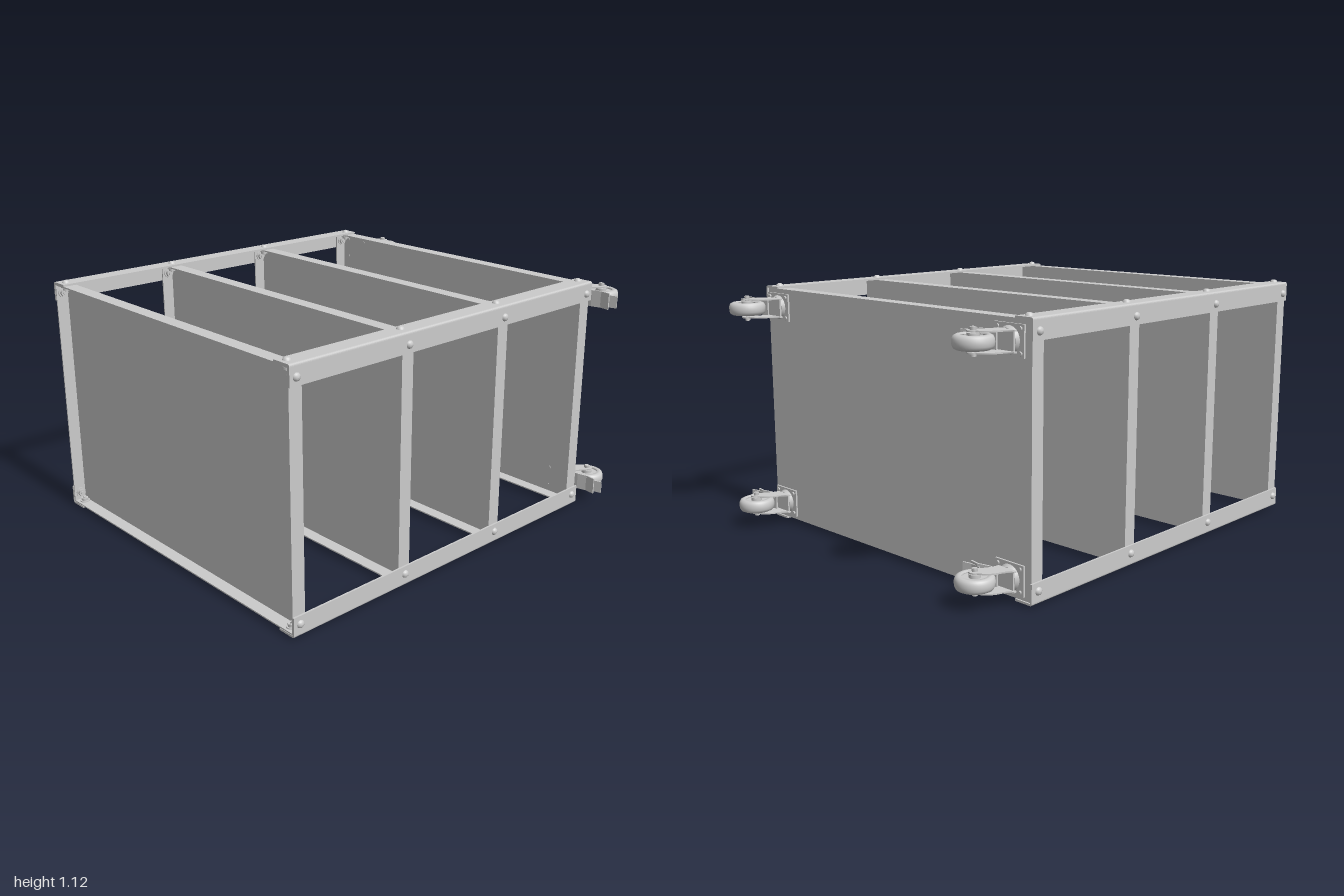
import * as THREE from 'three';

const grey = new THREE.MeshStandardMaterial({ color: 0xcccccc, side: THREE.DoubleSide });

// Frame limits
const X0 = -0.875, X1 = 0.78, Y0 = 0.012, Y1 = 1.11, Z0 = -0.79, Z1 = 1;
const CX = (X0 + X1) / 2, CY = (Y0 + Y1) / 2;
const FLANGE = 0.087, T = 0.009, TRAY_DEPTH = 0.062;
const SHELF_Z = [0.967, 0.396, -0.176, -0.752];

function add(parent, name, geometry, x = 0, y = 0, z = 0) {
  const mesh = new THREE.Mesh(geometry, grey);
  mesh.name = name;
  mesh.position.set(x, y, z);
  parent.add(mesh);
  return mesh;
}

const box = (w, h, d) => new THREE.BoxGeometry(w, h, d);
const cyl = (r, h, n = 24, r2 = r) => new THREE.CylinderGeometry(r, r2, h, n);
const lathe = (pts, n) => new THREE.LatheGeometry(pts.map(p => new THREE.Vector2(...p)), n);

function polygon(pts) {
  return new THREE.Shape(pts.map(p => new THREE.Vector2(...p)));
}

// Flat profile of (x, distance outwards along -z), centred thickness along y
function plateProfile(shape, thickness) {
  const g = new THREE.ExtrudeGeometry(shape, { depth: thickness, bevelEnabled: false, curveSegments: 10 });
  return g.translate(0, 0, -thickness / 2).rotateX(-Math.PI / 2);
}

// Domed bolt pointing along +y, head just below y = 0
function createBolt() {
  const bolt = new THREE.Group();
  bolt.name = 'bolt';
  add(bolt, 'boltHead', lathe([[0, -0.012], [0.008, -0.011], [0.014, -0.007], [0.017, 0]], 20));
  add(bolt, 'boltShaft', cyl(0.008, 0.04, 12), 0, 0.02);
  add(bolt, 'washer', cyl(0.023, 0.005, 20), 0, 0.0195);
  add(bolt, 'nut', cyl(0.018, 0.013, 6), 0, 0.028);
  return bolt;
}

// Angle-section post with two rows of bolts; its outer corner is the origin
function createPost() {
  const post = new THREE.Group();
  post.name = 'cornerPost';
  const r = 0.01;
  const s = new THREE.Shape();
  s.moveTo(r, 0);
  s.lineTo(FLANGE, 0);
  s.lineTo(FLANGE, T);
  s.lineTo(T, T);
  s.lineTo(T, FLANGE);
  s.lineTo(0, FLANGE);
  s.lineTo(0, r);
  s.quadraticCurveTo(0, 0, r, 0);
  add(post, 'angleBar', new THREE.ExtrudeGeometry(s, { depth: Z1 - Z0, bevelEnabled: false, curveSegments: 5 }), 0, 0, Z0);
  for (const z of SHELF_Z) {
    const a = createBolt();
    a.position.set(0.052, 0, z);
    const b = createBolt();
    b.rotation.z = -Math.PI / 2;
    b.position.set(0, 0.052, z);
    post.add(a, b);
  }
  return post;
}

// Shallow tray, open towards +z
function createShelf() {
  const shelf = new THREE.Group();
  shelf.name = 'shelf';
  const w = X1 - X0 - 2 * T, h = Y1 - Y0 - 2 * T, t = 0.006;
  add(shelf, 'shelfSheet', box(w, h, t), 0, 0, -TRAY_DEPTH / 2 + t / 2);
  for (const s of [-1, 1]) {
    add(shelf, 'sideRim', box(t, h, TRAY_DEPTH), s * (w - t) / 2, 0, 0);
    add(shelf, 'longRim', box(w, t, TRAY_DEPTH), 0, s * (h - t) / 2, 0);
  }
  return shelf;
}

// Swivel caster mounted on z = 0 and reaching to -z, trailing to +x
function createCaster() {
  const caster = new THREE.Group();
  caster.name = 'caster';
  const wheelX = 0.063, axle = 0.13;

  add(caster, 'mountingPlate', box(0.15, 0.125, 0.008), 0, 0, -0.004);
  for (const sx of [-1, 1]) for (const sy of [-1, 1]) {
    add(caster, 'plateBolt', cyl(0.009, 0.03, 6).rotateX(Math.PI / 2), sx * 0.058, sy * 0.046, 0);
  }
  add(caster, 'swivelRace', cyl(0.054, 0.014, 32, 0.045).rotateX(Math.PI / 2), 0, 0, -0.015);

  // Fork: crown and two cheeks tapering to the axle
  add(caster, 'forkCrown', box(0.085, 0.086, 0.008), 0, 0, -0.026);
  const cheek = new THREE.Shape();
  cheek.moveTo(-0.052, 0.022);
  cheek.lineTo(0.042, 0.022);
  cheek.quadraticCurveTo(0.04, 0.06, 0.085, 0.115);
  cheek.absarc(wheelX, axle, 0.026, -0.6, Math.PI * 0.85, false);
  cheek.quadraticCurveTo(0.0, 0.125, -0.016, 0.085);
  cheek.quadraticCurveTo(-0.025, 0.045, -0.052, 0.036);
  for (const s of [-1, 1]) {
    add(caster, 'forkCheek', plateProfile(cheek, 0.006), 0, s * 0.04, 0);
    add(caster, 'axleNut', cyl(0.013, 0.012, 6), wheelX, s * 0.048, -axle);
  }
  add(caster, 'axle', cyl(0.009, 0.112, 16), wheelX, 0, -axle);

  // Wheel: rounded tread with recessed hub
  add(caster, 'tyre', lathe([
    [0.05, -0.022], [0.052, -0.028], [0.064, -0.028], [0.074, -0.023], [0.079, -0.012], [0.08, 0],
    [0.079, 0.012], [0.074, 0.023], [0.064, 0.028], [0.052, 0.028], [0.05, 0.022],
  ], 40), wheelX, 0, -axle);
  add(caster, 'wheelDisc', cyl(0.051, 0.038, 32), wheelX, 0, -axle);
  add(caster, 'wheelHub', cyl(0.024, 0.066, 24), wheelX, 0, -axle);

  // Brake: bent pedal between and beyond the cheeks
  const arm = polygon([
    [0.03, 0.038], [0.075, 0.04], [0.12, 0.05], [0.165, 0.043], [0.165, 0.05],
    [0.122, 0.058], [0.072, 0.047], [0.03, 0.045],
  ]);
  add(caster, 'brakeArm', plateProfile(arm, 0.076));
  const pedal = polygon([[0.11, 0.05], [0.155, 0.048], [0.2, 0.058], [0.198, 0.064], [0.155, 0.056], [0.11, 0.06]]);
  add(caster, 'brakePedal', plateProfile(pedal, 0.056));
  return caster;
}

export function createModel() {
  const model = new THREE.Group();
  model.name = 'shelfCart';

  // Posts: the same angle bar turned into each corner
  [[X0, Y0], [X1, Y0], [X1, Y1], [X0, Y1]].forEach(([x, y], i) => {
    const post = createPost();
    post.position.set(x, y, 0);
    post.rotation.z = i * Math.PI / 2;
    model.add(post);
  });

  // Shelves
  for (const z of SHELF_Z) {
    const shelf = createShelf();
    shelf.position.set(CX, CY, z);
    model.add(shelf);
  }

  // Casters, all trailing the same way
  for (const x of [-0.765, 0.68]) for (const y of [0.103, 1.02]) {
    const caster = createCaster();
    caster.position.set(x, y, Z0);
    model.add(caster);
  }
  return model;
}
